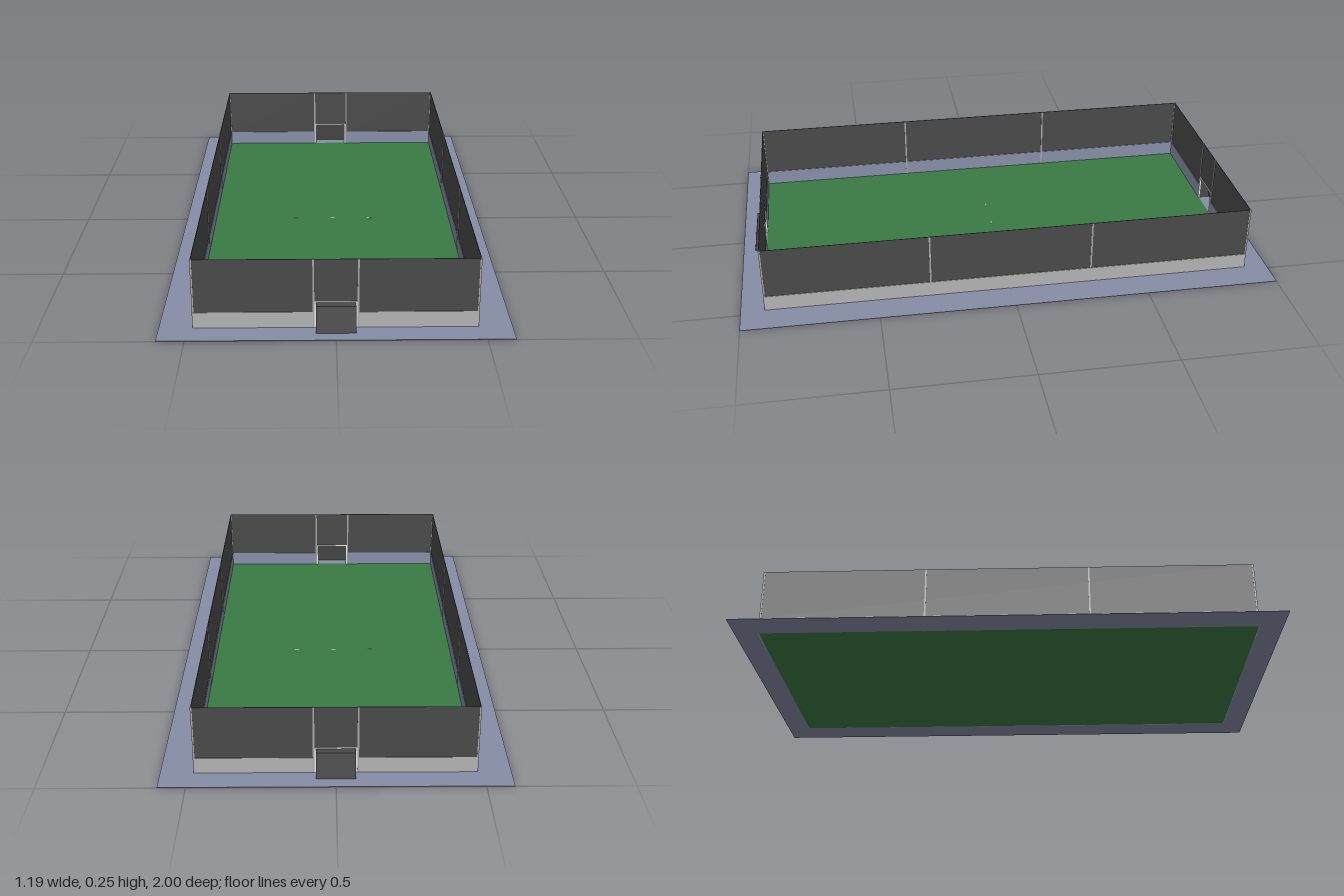
import * as THREE from 'three';

const W = 0.478, L = 0.91;          // half width and half length of the pitch
const WALL = 0.06, TOP = 0.255;     // wall height and net height
const GAP = 0.075;                  // half width between the goal's tall posts

const mat = (name, color, side = THREE.FrontSide) => {
  const m = new THREE.MeshStandardMaterial({ color, side });
  m.name = name;
  return m;
};

export function createModel() {
  const turf = mat('turf green', 0x3a7a45);
  const slate = mat('slate blue', 0x868da6);
  const concrete = mat('light grey', 0xb2b2b2);
  const net = mat('dark net', 0x494949, THREE.DoubleSide);
  const steel = mat('post grey', 0xa6a6a6);
  const white = mat('white', 0xf2f2f2);

  const box = (parent, name, m, x0, x1, y0, y1, z0, z1) => {
    const mesh = new THREE.Mesh(new THREE.BoxGeometry(x1 - x0, y1 - y0, z1 - z0), m);
    mesh.position.set((x0 + x1) / 2, (y0 + y1) / 2, (z0 + z1) / 2);
    mesh.name = name;
    parent.add(mesh);
    return mesh;
  };
  const post = (parent, name, x, z, h = TOP, r = 0.003, m = steel) =>
    box(parent, name, m, x - r, x + r, 0, h, z - r, z + r);

  const model = new THREE.Group();
  model.name = 'sportsCourt';

  // Paved surround with an opening for the pitch
  const rect = (S, a, b) => new S([[-a, -b], [a, -b], [a, b], [-a, b]].map(p => new THREE.Vector2(...p)));
  const border = rect(THREE.Shape, 0.595, 1);
  border.holes.push(rect(THREE.Path, W, L));
  const paving = new THREE.Mesh(new THREE.ExtrudeGeometry(border, { depth: 0.002, bevelEnabled: false }), slate);
  paving.rotation.x = -Math.PI / 2;
  paving.name = 'paving';
  model.add(paving);

  // Pitch and its small centre spots
  box(model, 'pitch', turf, -W, W, 0, 0.002, -L, L);
  for (const x of [-0.15, 0, 0.15]) box(model, 'spot', white, x - 0.008, x + 0.008, 0.002, 0.003, -0.0015, 0.0015);

  // Long sides: grey outside, slate lining inside, net above
  for (const s of [1, -1]) {
    const side = new THREE.Group();
    side.name = 'longSide';
    side.rotation.y = s > 0 ? 0 : Math.PI;
    box(side, 'wall', concrete, W, W + 0.004, 0, WALL, -L, L);
    box(side, 'wallLining', slate, W - 0.002, W, 0, WALL, -L, L);
    box(side, 'net', net, W, W + 0.002, WALL, TOP, -L, L);
    for (const z of [-0.303, 0.303]) post(side, 'sidePost', W, z);
    post(side, 'cornerPost', W, L);
    post(side, 'cornerPost', W, -L);
    model.add(side);
  }

  // Goal net: upright at the mouth, sloping outwards at the back
  const profile = new THREE.Shape([[0, 0], [0.045, 0], [0.03, 0.093], [0, 0.093]].map(p => new THREE.Vector2(...p)));
  const flank = new THREE.ShapeGeometry(profile);
  const back = new THREE.PlaneGeometry(0.134, Math.hypot(0.015, 0.093));

  for (const s of [1, -1]) {
    const end = new THREE.Group();
    end.name = 'goalEnd';
    end.rotation.y = s > 0 ? 0 : Math.PI;

    // Walls and nets either side of the goal
    for (const k of [1, -1]) {
      const a = Math.min(k * GAP, k * W), b = Math.max(k * GAP, k * W);
      box(end, 'wall', concrete, a, b, 0, WALL, L, L + 0.004);
      box(end, 'wallLining', slate, a, b, 0, WALL, L - 0.002, L);
      box(end, 'net', net, a, b, WALL, TOP, L, L + 0.002);
      post(end, 'tallPost', k * GAP, L + 0.001);
      post(end, 'goalPost', k * 0.069, L, 0.097, 0.003, white);

      const flankMesh = new THREE.Mesh(flank, net);
      flankMesh.rotation.y = -Math.PI / 2;
      flankMesh.position.set(k * 0.067, 0.002, L);
      flankMesh.name = 'goalSideNet';
      end.add(flankMesh);
    }
    box(end, 'upperNet', net, -GAP, GAP, 0.097, TOP, L, L + 0.002);
    box(end, 'crossbar', white, -0.072, 0.072, 0.093, 0.099, L - 0.003, L + 0.003);

    // Goal roof and sloping back
    box(end, 'goalRoof', net, -0.067, 0.067, 0.093, 0.095, L, L + 0.03);
    const backMesh = new THREE.Mesh(back, net);
    backMesh.rotation.x = -Math.atan2(0.015, 0.093);
    backMesh.position.set(0, 0.0485, L + 0.0375);
    backMesh.name = 'goalBackNet';
    end.add(backMesh);
    model.add(end);
  }
  return model;
}
